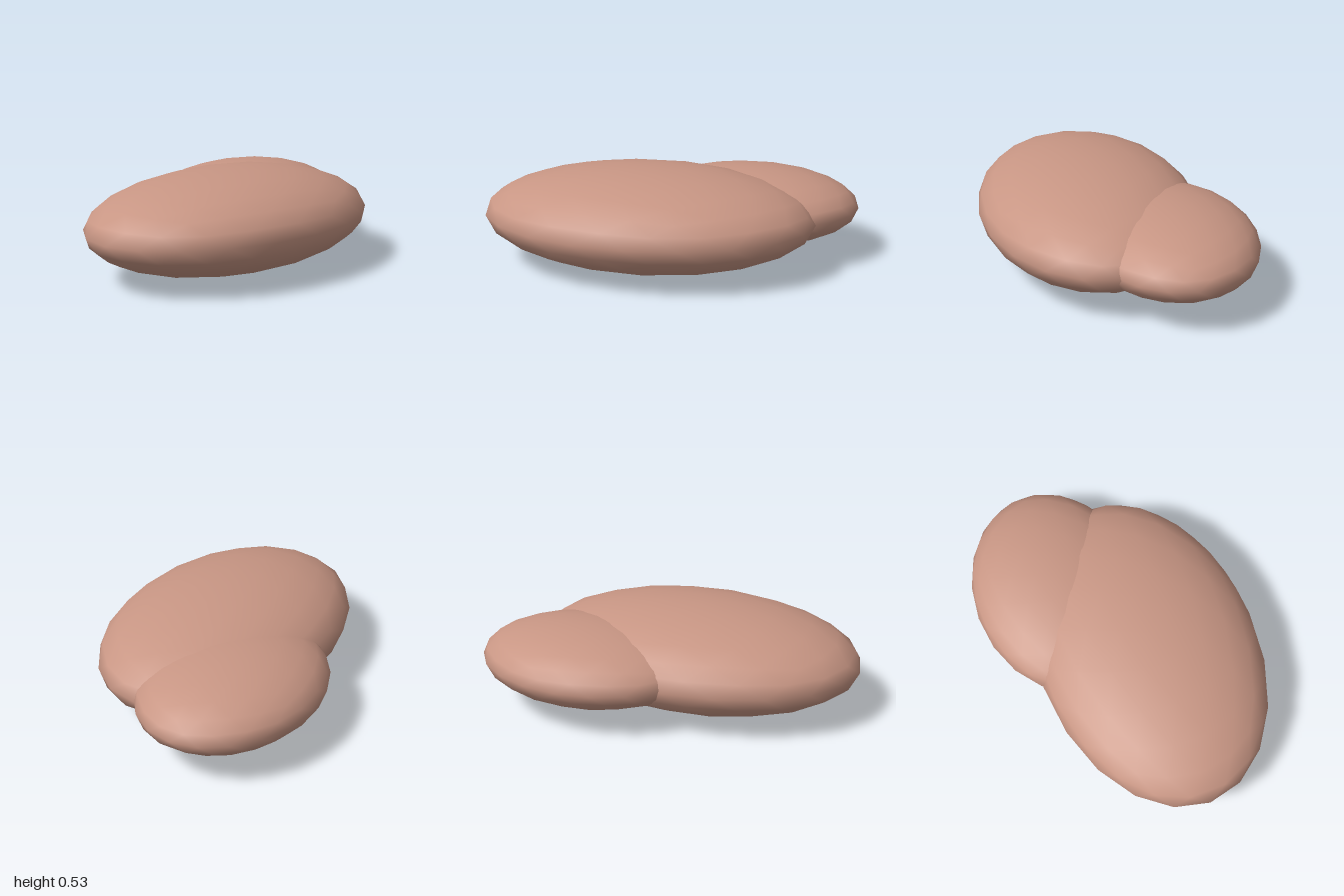
import * as THREE from 'three';

// Smooth, coarse icosphere with a corner at each pole, squashed into a pebble
function pebble(name, material, centre, radii) {
  const geometry = new THREE.IcosahedronGeometry(1, 3);
  geometry.rotateZ(-Math.atan(2 / (1 + Math.sqrt(5))));
  geometry.scale(...radii);
  const mesh = new THREE.Mesh(geometry, material);
  mesh.name = name;
  mesh.position.set(...centre);
  return mesh;
}

export function createModel() {
  const group = new THREE.Group();
  group.name = 'pebblePair';
  const clay = new THREE.MeshStandardMaterial({ color: 0xc89684 });
  clay.name = 'dusty clay';

  // Large flat lobe in front, smaller one tucked in behind its left side
  group.add(pebble('largeLobe', clay, [-0.1, 0.267, 0.1], [0.905, 0.266, 0.602]));
  group.add(pebble('smallLobe', clay, [0.4, 0.271, -0.235], [0.605, 0.2, 0.467]));
  return group;
}
